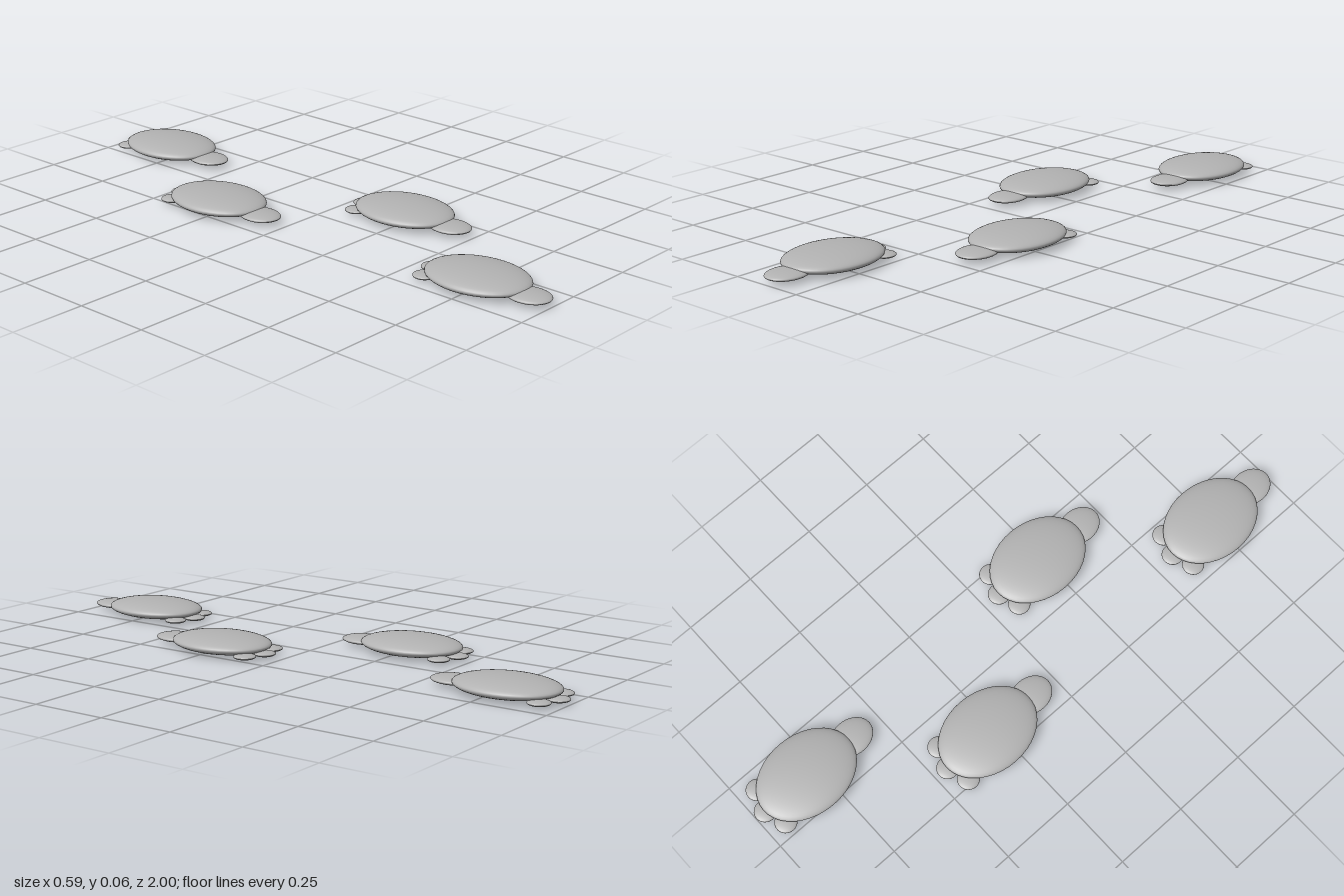
import * as THREE from 'three';

const grey = new THREE.MeshStandardMaterial({ color: 0xb2b2b2 });
grey.name = 'grey';

const unitSphere = new THREE.SphereGeometry(1, 40, 24);

// Flattened ball: position and radii on each axis
function pad(name, position, radii) {
  const mesh = new THREE.Mesh(unitSphere, grey);
  mesh.name = name;
  mesh.position.set(...position);
  mesh.scale.set(...radii);
  return mesh;
}

// One footprint, toes pointing to -z
function footprint(name, x, z) {
  const foot = new THREE.Group();
  foot.name = name;
  foot.add(pad('sole', [0, 0.0297, 0], [0.132, 0.0297, 0.174]));
  foot.add(pad('heel', [0, 0.0205, 0.185], [0.059, 0.0135, 0.073]));
  foot.add(pad('middleToe', [0, 0.0135, -0.17], [0.036, 0.009, 0.036]));
  for (const side of [-1, 1]) {
    foot.add(pad(side > 0 ? 'leftToe' : 'rightToe',
      [side * 0.07, 0.0135, -0.145], [0.036, 0.009, 0.036]));
  }
  foot.position.set(x, 0, z);
  return foot;
}

export function createModel() {
  const model = new THREE.Group();
  model.name = 'footprintTrail';

  // Alternating steps from front to back
  const steps = [-0.117, 0.162, -0.164, 0.114];
  steps.forEach((x, i) => {
    model.add(footprint('footprint' + (i + 1), x, 0.742 - i * 0.512));
  });
  return model;
}
